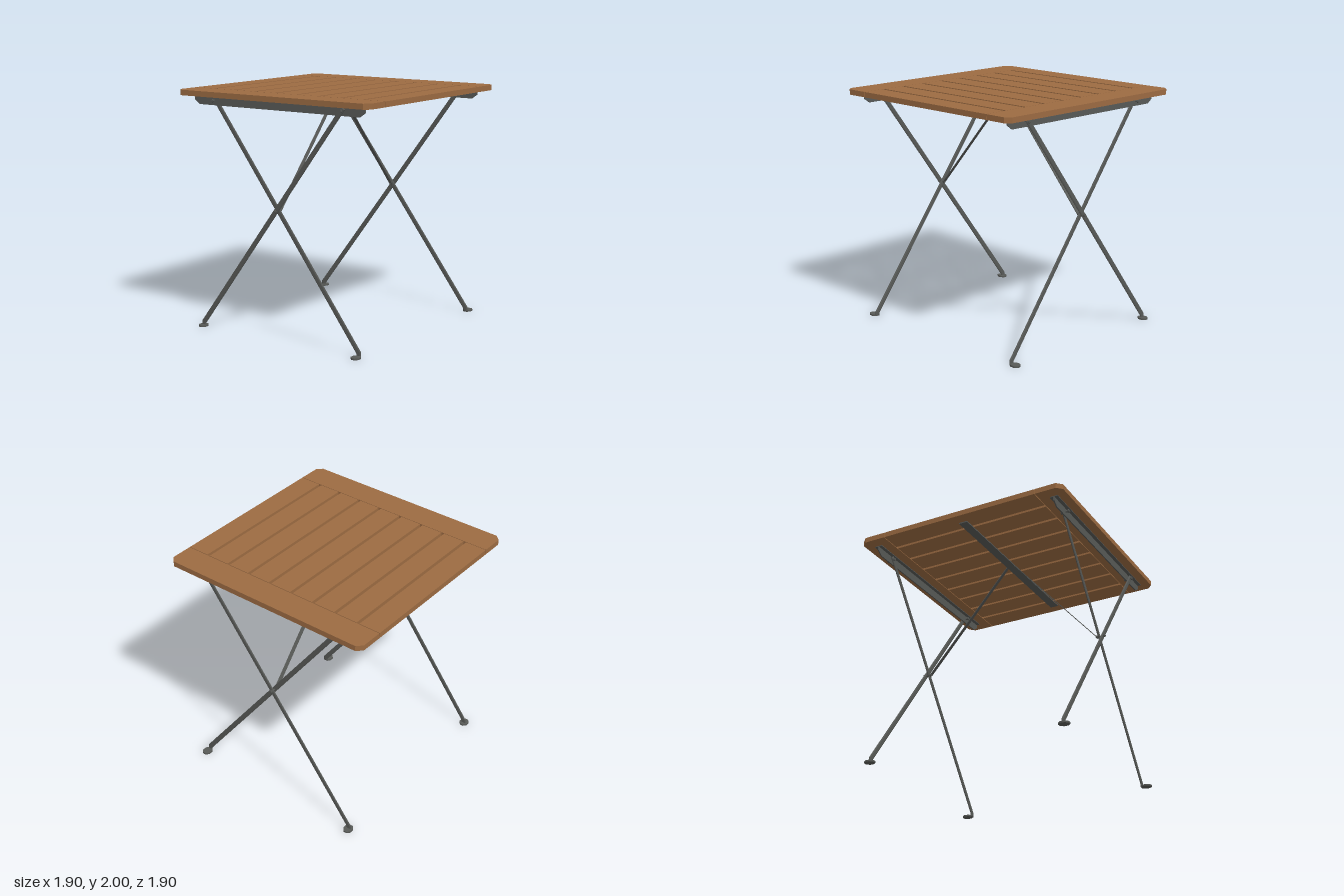
import * as THREE from 'three';

const wood = new THREE.MeshStandardMaterial({ color: 0x9c6b42 });
wood.name = 'wood';
const steel = new THREE.MeshStandardMaterial({ color: 0x585a57 });
steel.name = 'steel';

function add(parent, name, geometry, material, x = 0, y = 0, z = 0) {
  const mesh = new THREE.Mesh(geometry, material);
  mesh.name = name;
  mesh.position.set(x, y, z);
  parent.add(mesh);
  return mesh;
}

const shapeOf = (pts) => new THREE.Shape(pts.map(([u, v]) => new THREE.Vector2(u, v)));

// Side outline given as (z, y), extruded along x and centred on x = 0
function sidePlate(shape, thickness, bevel = 0, bevelWidth = 0) {
  const depth = thickness - 2 * bevel;
  const g = new THREE.ExtrudeGeometry(shape, {
    depth, bevelEnabled: bevel > 0, bevelThickness: bevel, bevelSize: bevelWidth, bevelSegments: 1,
  });
  g.translate(0, 0, -depth / 2);
  g.rotateY(-Math.PI / 2);
  return g;
}

// Leg outline: a sloping bar with a short upright end above the foot
function legShape(dir, half) {
  const top = [0.652, 1.936], knee = [-0.785, 0.035];
  const dz = top[0] - knee[0], dy = top[1] - knee[1], len = Math.hypot(dz, dy);
  const n = [-dy / len, dz / len];
  const miter = half * (1 - dz / len) / (dy / len);
  const pts = [
    [knee[0] - half, 0.008], [knee[0] + half, 0.008],
    [knee[0] + half, knee[1] - miter],
    [top[0] - n[0] * half, top[1] - n[1] * half],
    [top[0] + n[0] * half, top[1] + n[1] * half],
    [knee[0] - half, knee[1] + miter],
  ];
  return shapeOf(pts.map(([z, y]) => [z * dir, y]));
}

// Hexagonal fastener lying along x
function fastener(parent, name, x, y, z, radius, length) {
  const g = new THREE.CylinderGeometry(radius, radius, length, 6);
  g.rotateZ(Math.PI / 2);
  add(parent, name, g.toNonIndexed(), steel, x, y, z);
}

function buildTop() {
  const top = new THREE.Group();
  top.name = 'tableTop';
  const count = 9, width = 0.188, pitch = (1.9 - width) / (count - 1);
  for (let i = 0; i < count; i++) {
    add(top, 'slat', new THREE.BoxGeometry(1.426, 0.045, width), wood,
      0, 1.9775, -0.95 + width / 2 + i * pitch);
  }
  // End boards with clipped outer corners
  const a = 0.718, b = 0.95, c = 0.045;
  for (const s of [1, -1]) {
    const pts = [[a, -b], [b - c, -b], [b, -b + c], [b, b - c], [b - c, b], [a, b]];
    const g = new THREE.ExtrudeGeometry(shapeOf(pts.map(([x, z]) => [x * s, z])),
      { depth: 0.045, bevelEnabled: false });
    g.rotateX(-Math.PI / 2);
    add(top, 'endBoard', g, wood, 0, 1.955, 0);
  }
  add(top, 'centreStrap', new THREE.BoxGeometry(0.075, 0.01, 1.7), steel, 0, 1.95, 0);
  return top;
}

function buildSide(s) {
  const side = new THREE.Group();
  side.name = s > 0 ? 'leftFrame' : 'rightFrame';

  // Rail under the end board
  const rail = shapeOf([[-0.8, 1.88], [0.8, 1.88], [0.85, 1.915], [0.85, 1.955], [-0.85, 1.955], [-0.85, 1.915]]);
  add(side, 'rail', sidePlate(rail, 0.01), steel, s * 0.838);
  add(side, 'railFlange', new THREE.BoxGeometry(0.07, 0.006, 1.7), steel, s * 0.838, 1.952, 0);

  // Crossing legs, one on each face of the rail
  for (const [name, x, dir] of [['outerLeg', 0.854, 1], ['innerLeg', 0.821, -1]]) {
    add(side, name, sidePlate(legShape(dir, 0.012), 0.013, 0.004, 0.008), steel, s * x);
    const foot = new THREE.CylinderGeometry(0.5, 0.5, 1, 8);
    foot.rotateY(Math.PI / 8);
    foot.scale(0.095, 0.014, 0.08);
    add(side, name + 'Foot', foot.toNonIndexed(), steel, s * 0.862, 0.007, -dir * 0.785);
    // Pivot bolt through rail and leg
    fastener(side, 'pivotBolt', s * 0.84, 1.92, dir * 0.64, 0.008, 0.08);
    for (const hx of [0.808, 0.87]) fastener(side, 'pivotNut', s * hx, 1.92, dir * 0.64, 0.015, 0.012);
  }

  // Bolt where the legs cross
  fastener(side, 'crossBolt', s * 0.835, 1.073, 0, 0.008, 0.085);
  for (const hx of [0.803, 0.868]) fastener(side, 'crossNut', s * hx, 1.073, 0, 0.014, 0.012);

  // Diagonal stay from the crossing to the centre strap
  const dx = 0.77, dy = 0.88;
  const stay = add(side, 'stay', new THREE.BoxGeometry(Math.hypot(dx, dy), 0.006, 0.03), steel,
    s * 0.42, 1.508, 0);
  stay.rotation.z = -s * Math.atan2(dy, dx);
  return side;
}

export function createModel() {
  const table = new THREE.Group();
  table.name = 'foldingTable';
  table.add(buildTop(), buildSide(1), buildSide(-1));
  return table;
}
